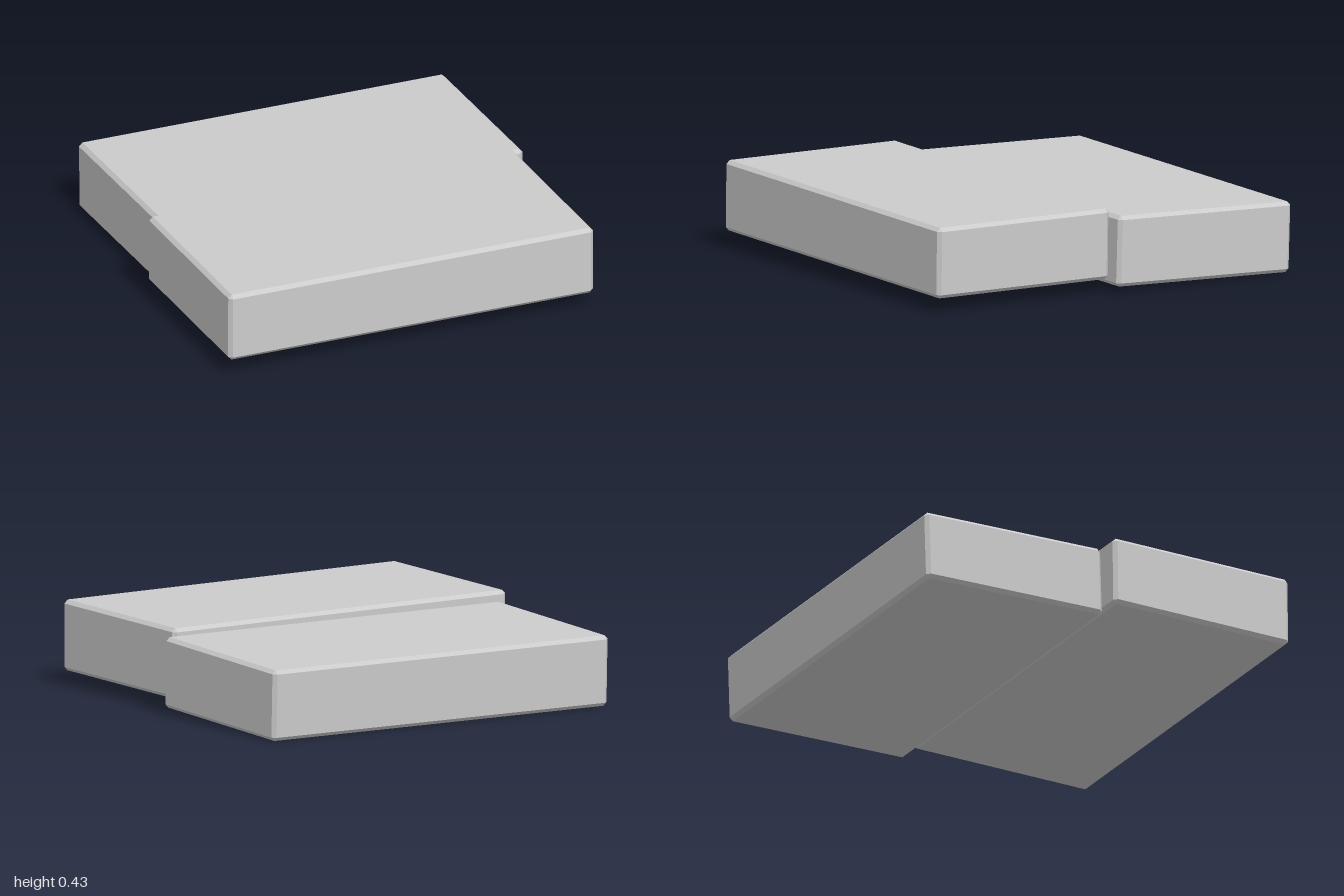
import * as THREE from 'three';
import { ConvexGeometry } from 'three/addons/geometries/ConvexGeometry.js';

// Block with every edge cut by a flat chamfer
function chamferedBox(w, h, d, c) {
  const points = [];
  for (const sx of [-1, 1]) for (const sy of [-1, 1]) for (const sz of [-1, 1]) {
    const x = sx * w / 2, y = sy * h / 2, z = sz * d / 2;
    points.push(
      new THREE.Vector3(x, y - sy * c, z - sz * c),
      new THREE.Vector3(x - sx * c, y, z - sz * c),
      new THREE.Vector3(x - sx * c, y - sy * c, z)
    );
  }
  return new ConvexGeometry(points);
}

export function createModel() {
  const group = new THREE.Group();
  const material = new THREE.MeshStandardMaterial({ color: 0xcccccc, flatShading: true });
  const geometry = chamferedBox(1.91, 0.345, 0.975, 0.018);

  // Two equal bricks laid side by side, each slightly askew
  const bricks = [
    { name: 'frontBrick', position: [-0.027, 0.245, 0.49], rotation: [-0.008, 0.015, -0.007] },
    { name: 'backBrick', position: [0.028, 0.19, -0.504], rotation: [-0.031, 0.005, 0] },
  ];
  for (const { name, position, rotation } of bricks) {
    const brick = new THREE.Mesh(geometry, material);
    brick.name = name;
    brick.position.set(...position);
    brick.rotation.set(...rotation);
    group.add(brick);
  }
  return group;
}
